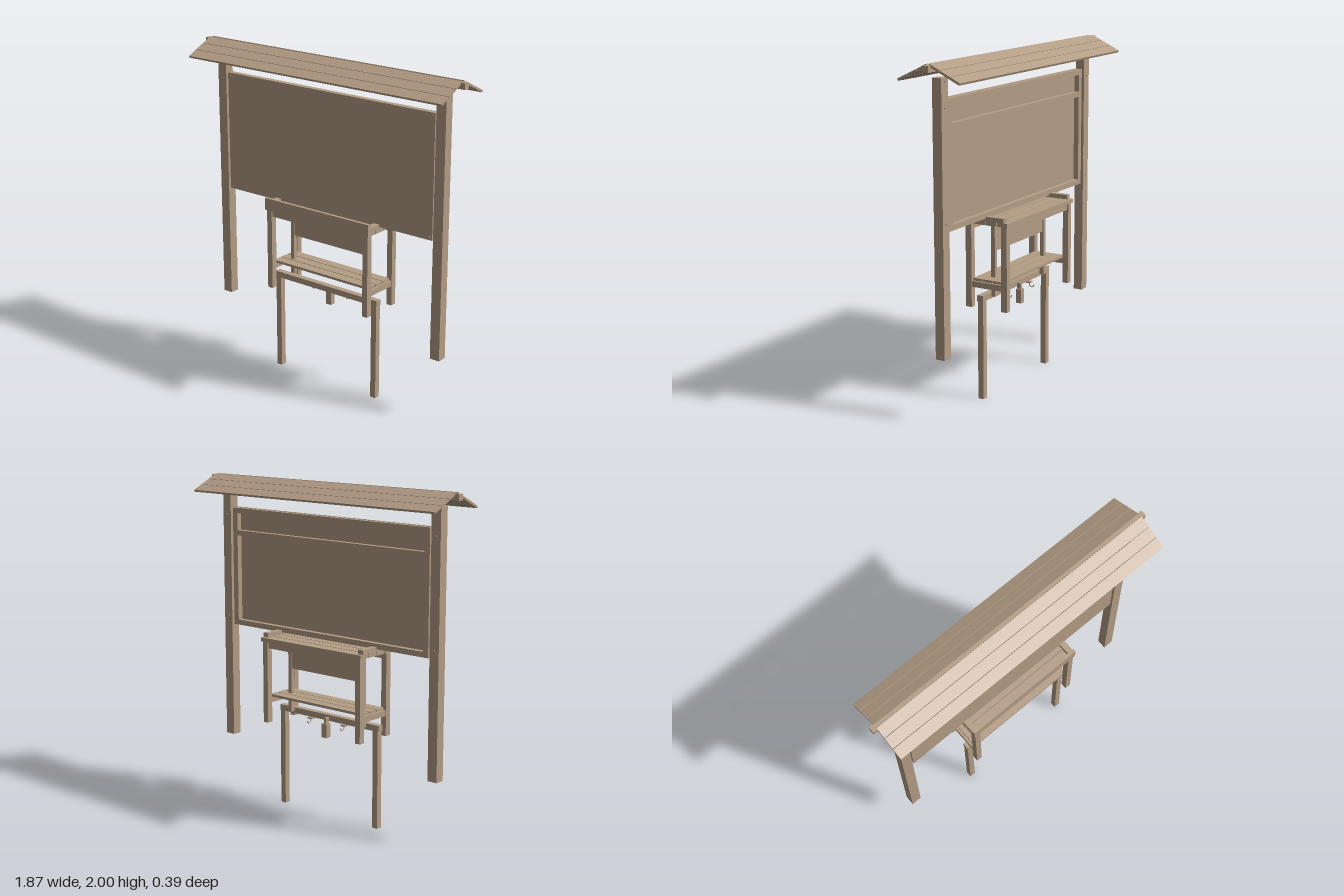
import * as THREE from 'three';

export function createModel() {
  const model = new THREE.Group();
  model.name = 'noticeBoardWithDesk';
  const wood = new THREE.MeshStandardMaterial({ color: 0xb49d85 });
  wood.name = 'wood';

  const add = (name, geometry, x = 0, y = 0, z = 0) => {
    const mesh = new THREE.Mesh(geometry, wood);
    mesh.name = name;
    mesh.position.set(x, y, z);
    model.add(mesh);
    return mesh;
  };
  // Box given by its extents along each axis
  const beam = (name, [x0, x1], [y0, y1], [z0, z1]) =>
    add(name, new THREE.BoxGeometry(x1 - x0, y1 - y0, z1 - z0),
      (x0 + x1) / 2, (y0 + y1) / 2, (z0 + z1) / 2);
  // Same box on both sides
  const pair = (name, [x0, x1], y, z) => {
    beam(name, [x0, x1], y, z);
    beam(name, [-x1, -x0], y, z);
  };
  const bolt = (x, y, z, r = 0.006) => {
    add('bolt', new THREE.CylinderGeometry(r, r, 0.006, 8), x, y, z).rotation.x = Math.PI / 2;
  };

  // Main posts with bolts on the back
  beam('post', [-0.83, -0.767], [0.38, 1.92], [-0.028, 0.03]);
  beam('post', [0.763, 0.826], [0.37, 1.92], [-0.028, 0.03]);
  for (const x of [-0.798, 0.795])
    for (const y of [1.9, 1.76, 1.13]) bolt(x, y, -0.031);

  // Roof: ridge beam and three planks per slope
  beam('ridgeBeam', [-0.937, 0.931], [1.958, 1.994], [-0.018, 0.018]);
  const pitch = 0.445;
  for (const side of [1, -1])
    for (let i = 0; i < 3; i++) {
      const d = 0.043 + i * 0.069;
      const plank = add('roofPlank', new THREE.BoxGeometry(1.815, 0.013, 0.066),
        -0.002, 1.999 - d * Math.sin(pitch), side * d * Math.cos(pitch));
      plank.rotation.x = side * pitch;
    }

  // Notice board with a frame on its back
  beam('boardPanel', [-0.757, 0.753], [1.078, 1.805], [0.012, 0.024]);
  pair('frameUpright', [0.715, 0.752], [1.08, 1.803], [-0.02, 0.012]);
  for (const [y0, y1] of [[1.08, 1.112], [1.635, 1.667], [1.771, 1.803]])
    beam('frameRail', [-0.715, 0.715], [y0, y1], [-0.02, 0.012]);
  for (const x of [-0.74, 0.736])
    for (const y of [1.095, 1.79]) bolt(x, y, 0.026, 0.005);

  // Desk top: four planks, front lip and end cleats
  for (let i = 0; i < 4; i++) {
    const z = 0.125 - i * 0.0735;
    beam('deskPlank', [-0.388, 0.386], [1.042, 1.066], [z - 0.068, z]);
  }
  beam('deskLip', [-0.388, 0.386], [1.066, 1.115], [0.105, 0.125]);
  pair('deskCleat', [0.35, 0.386], [1.066, 1.092], [-0.14, 0.105]);

  // Desk legs, aprons and shelf bearers
  for (const [z0, z1] of [[0.08, 0.118], [-0.155, -0.118]]) {
    pair('deskLeg', [0.342, 0.378], [0.545, 1.042], [z0, z1]);
    beam('deskApron', [-0.342, 0.342], [1.003, 1.042], [z0 + 0.008, z1 - 0.008]);
  }
  pair('shelfBearer', [0.346, 0.374], [0.665, 0.7], [-0.118, 0.08]);

  // Shelf planks between the legs
  for (let i = 0; i < 3; i++) {
    const z = 0.08 - i * 0.067;
    beam('shelfPlank', [-0.36, 0.36], [0.7, 0.715], [z - 0.062, z]);
  }

  // Inner uprights holding a small panel
  pair('innerUpright', [0.269, 0.294], [0.6, 1.042], [-0.025, 0.0]);
  beam('smallPanel', [-0.269, 0.269], [0.868, 1.042], [-0.018, -0.006]);

  // Lower stand
  pair('standLeg', [0.346, 0.383], [0, 0.588], [0, 0.036]);
  beam('standRail', [-0.388, 0.386], [0.588, 0.624], [0, 0.038]);

  // Hanging block and hooks behind the rail
  beam('hangingBlock', [-0.02, 0.016], [0.49, 0.575], [-0.036, 0.0]);
  beam('hangingStrap', [-0.009, 0.005], [0.575, 0.61], [-0.026, 0.0]);
  for (const x of [-0.133, 0.128]) {
    beam('hookPlate', [x - 0.016, x + 0.016], [0.58, 0.588], [-0.02, 0.012]);
    const path = new THREE.CatmullRomCurve3([
      [0, 0.582, -0.008], [0, 0.566, -0.008], [0, 0.556, -0.019],
      [0, 0.558, -0.032], [0, 0.572, -0.038],
    ].map(p => new THREE.Vector3(...p)));
    add('hook', new THREE.TubeGeometry(path, 12, 0.003, 6), x);
  }
  return model;
}
